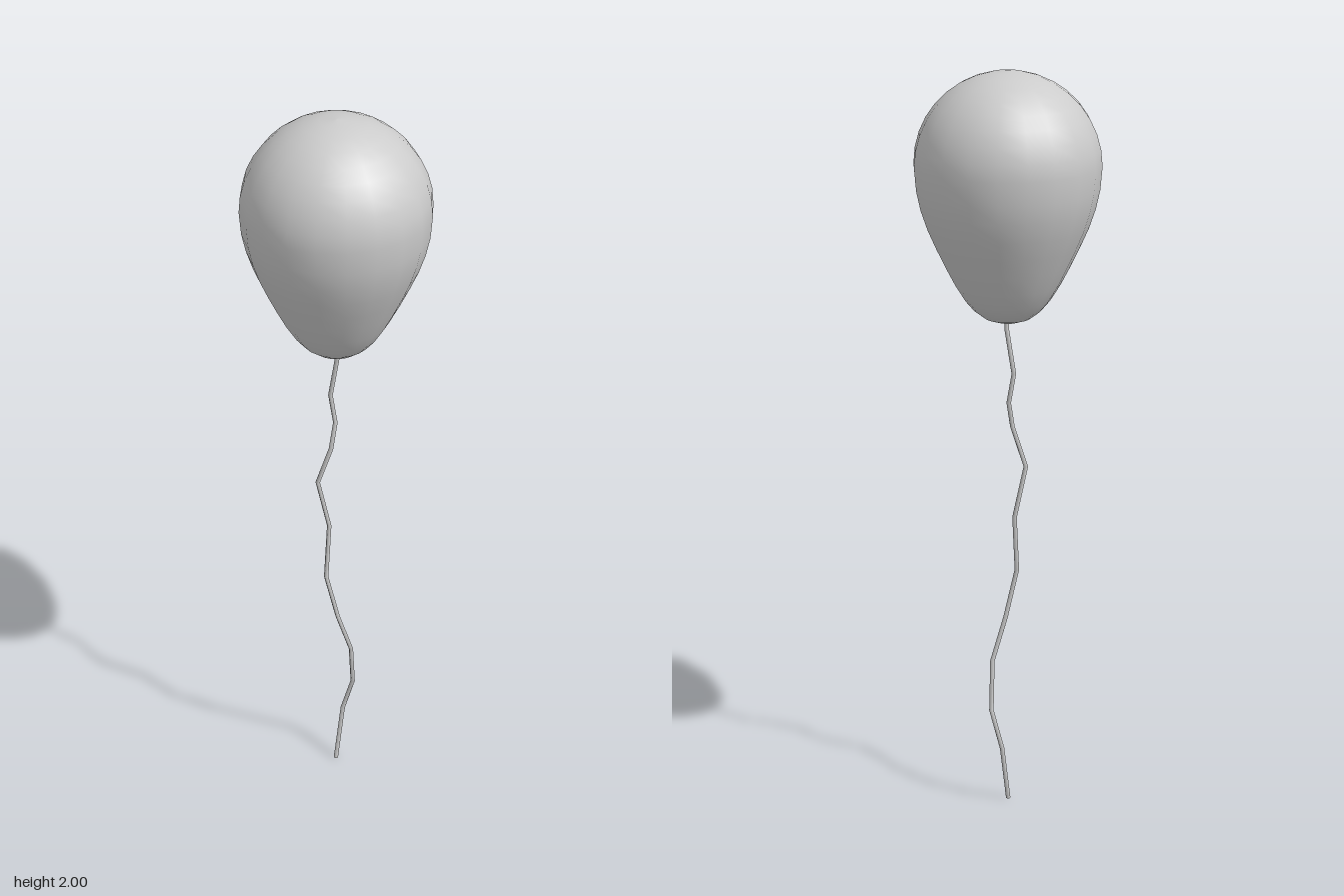
import * as THREE from 'three';

// Curve that runs straight between points, one tube ring per point
class Polyline extends THREE.Curve {
  constructor(points) {
    super();
    this.points = points;
  }
  getUtoTmapping(u) {
    return u;
  }
  getPoint(t, target = new THREE.Vector3()) {
    const last = this.points.length - 1;
    const s = t * last;
    const i = Math.min(Math.floor(s + 1e-9), last - 1);
    return target.lerpVectors(this.points[i], this.points[i + 1], s - i);
  }
}

export function createModel() {
  const group = new THREE.Group();
  group.name = 'balloonOnString';
  const material = new THREE.MeshStandardMaterial({ color: 0xcccccc, side: THREE.DoubleSide });

  // Balloon: rounded underside and tapering flank, then a round crown
  const profile = [
    [0, 1.347], [0.03, 1.35], [0.06, 1.36], [0.088, 1.381], [0.11, 1.407],
    [0.137, 1.45], [0.163, 1.5], [0.187, 1.55], [0.209, 1.6], [0.226, 1.65], [0.237, 1.7],
  ].map(([r, y]) => new THREE.Vector2(r, y));
  const crownSteps = 9;
  for (let i = 0; i <= crownSteps; i++) {
    const a = (i / crownSteps) * Math.PI / 2;
    profile.push(new THREE.Vector2(i === crownSteps ? 0 : 0.242 * Math.cos(a), 1.76 + 0.24 * Math.sin(a)));
  }
  const balloon = new THREE.Mesh(new THREE.LatheGeometry(profile, 20), material);
  balloon.name = 'balloon';
  group.add(balloon);

  // Crooked string from the ground up into the balloon
  const path = [
    [0, 0, -0.003], [0.029, 0.16, -0.02], [0.048, 0.267, 0.005], [0.032, 0.4, 0.027],
    [-0.006, 0.52, 0.022], [-0.035, 0.655, 0.011], [-0.02, 0.81, -0.002], [-0.048, 0.95, -0.013],
    [-0.019, 1.06, 0.008], [-0.001, 1.13, -0.004], [-0.01, 1.21, -0.015], [0.002, 1.33, 0.002],
    [0.002, 1.37, 0.002],
  ].map((p) => new THREE.Vector3(...p));
  const string = new THREE.Mesh(
    new THREE.TubeGeometry(new Polyline(path), path.length - 1, 0.006, 6), material);
  string.name = 'string';
  group.add(string);

  return group;
}
